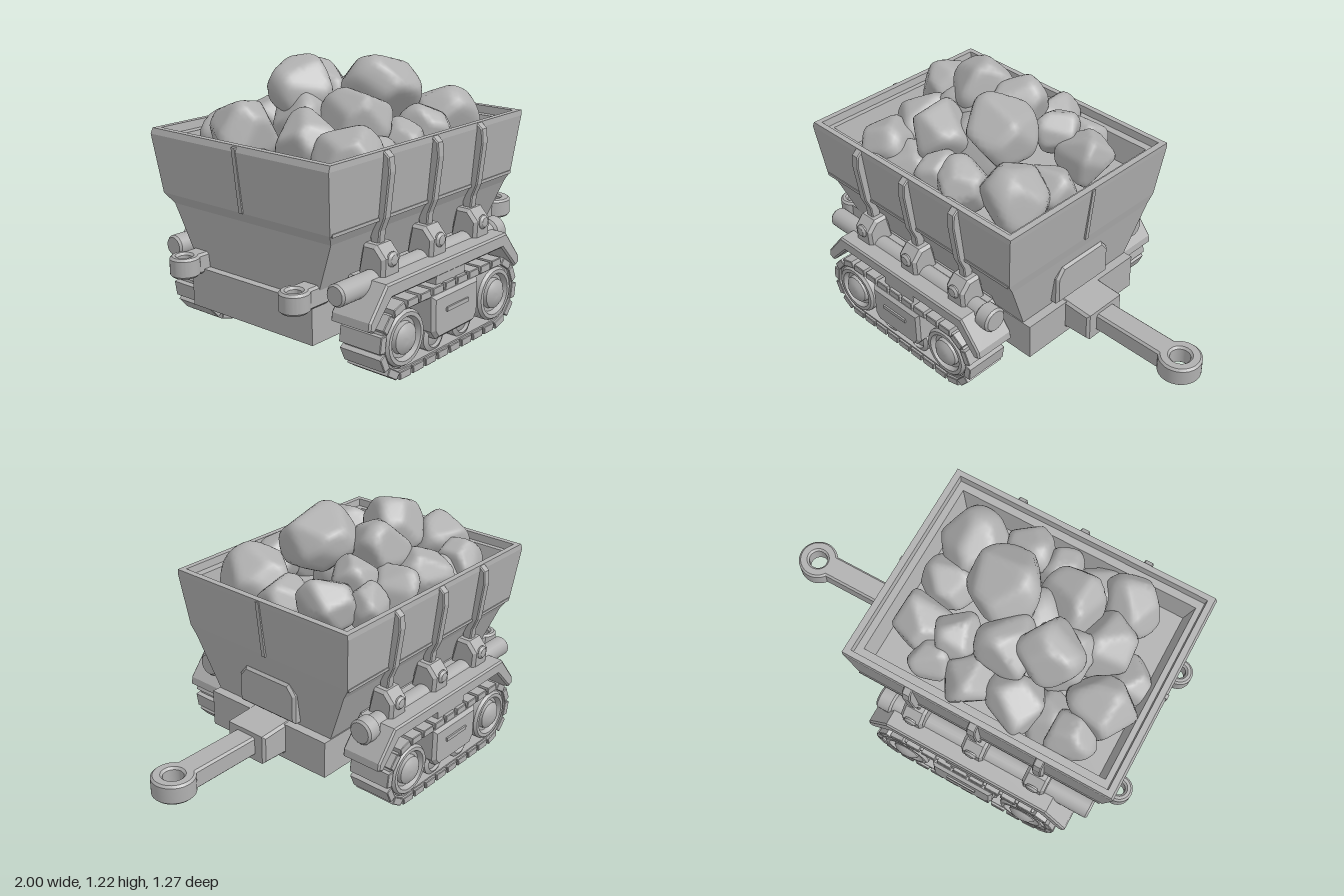
import * as THREE from 'three';
import { toCreasedNormals } from 'three/addons/utils/BufferGeometryUtils.js';

const stone = new THREE.MeshStandardMaterial({ color: 0xb0b0b0 });
stone.name = 'plain grey';

function add(parent, name, geo, x = 0, y = 0, z = 0) {
  const m = new THREE.Mesh(geo, stone);
  m.name = name;
  m.position.set(x, y, z);
  parent.add(m);
  return m;
}

const box = (w, h, d) => new THREE.BoxGeometry(w, h, d);

// Polygon extruded along z, centred, with an optional small bevel
function slab(points, depth, bevel = 0) {
  const s = new THREE.Shape(points.map(p => new THREE.Vector2(...p)));
  const g = new THREE.ExtrudeGeometry(s, {
    depth: depth - 2 * bevel, bevelEnabled: bevel > 0, bevelSize: bevel,
    bevelOffset: -bevel, bevelThickness: bevel, bevelSegments: 1,
  });
  return g.translate(0, 0, -depth / 2 + bevel);
}

// Rounded body of revolution whose axis points along +z
function turned(profile, segments = 24) {
  const g = new THREE.LatheGeometry(profile.map(p => new THREE.Vector2(...p)), segments);
  return toCreasedNormals(g.rotateX(Math.PI / 2), 0.6);
}

// Flat towing eye centred on the origin, with its tail towards -x
function eye(ring, hole, half, tail, height) {
  const a = Math.asin(half / ring);
  const s = new THREE.Shape();
  s.moveTo(-tail, half);
  s.lineTo(-tail, -half);
  s.absarc(0, 0, ring, -Math.PI + a, Math.PI - a, false);
  s.closePath();
  s.holes.push(new THREE.Path().absarc(0, 0, hole, 0, Math.PI * 2, true));
  const g = new THREE.ExtrudeGeometry(s, {
    depth: height - 0.02, bevelEnabled: true, bevelSize: 0.01, bevelOffset: -0.01,
    bevelThickness: 0.01, bevelSegments: 1, curveSegments: 20,
  });
  return toCreasedNormals(g.translate(0, 0, 0.01 - height / 2).rotateX(-Math.PI / 2), 0.5);
}

// Hopper shell from rectangular loops: y, x min, x max, half depth
function hopperShell() {
  const loops = [
    [0.34, -0.835, 0.285, 0.345], [0.6, -0.865, 0.325, 0.45], [0.65, -0.9, 0.335, 0.478],
    [0.91, -0.932, 0.37, 0.505], [0.935, -0.922, 0.372, 0.503], [0.935, -0.895, 0.342, 0.477],
    [0.9, -0.89, 0.337, 0.472], [0.9, -0.865, 0.305, 0.435], [0.78, -0.835, 0.275, 0.415],
  ].map(([y, a, b, z]) => [[b, y, z], [b, y, -z], [a, y, -z], [a, y, z]]);
  const pos = [];
  const quad = (a, b, c, d) => pos.push(...a, ...b, ...c, ...a, ...c, ...d);
  for (let i = 0; i + 1 < loops.length; i++)
    for (let j = 0; j < 4; j++) {
      const k = (j + 1) % 4;
      quad(loops[i][j], loops[i][k], loops[i + 1][k], loops[i + 1][j]);
    }
  quad(...loops[loops.length - 1]);
  const g = new THREE.BufferGeometry();
  g.setAttribute('position', new THREE.Float32BufferAttribute(pos, 3));
  g.computeVertexNormals();
  return g;
}

// Boulder: a sphere worn down by seeded planes, with softened edges
function rock(r, seed) {
  let s = seed * 7919 + 17;
  const rnd = () => (s = (s * 16807) % 2147483647) / 2147483647;
  const cuts = [];
  for (let i = 0; i < 12; i++) {
    const u = 1 - 2 * (i + 0.5) / 12, t = i * 2.4 + rnd() * 1.2, q = Math.sqrt(1 - u * u);
    cuts.push([new THREE.Vector3(q * Math.cos(t), u, q * Math.sin(t)), 0.78 + rnd() * 0.2]);
  }
  const g = new THREE.IcosahedronGeometry(1, 7), p = g.attributes.position, v = new THREE.Vector3();
  for (let i = 0; i < p.count; i++) {
    v.fromBufferAttribute(p, i).normalize();
    let sum = Math.pow(1 / 1.15, 24);
    for (const [n, h] of cuts) sum += Math.pow(Math.max(0, n.dot(v)) / h, 24);
    v.multiplyScalar(r * 1.02 * Math.pow(sum, -1 / 24));
    p.setXYZ(i, v.x, v.y, v.z);
  }
  return toCreasedNormals(g, 1.2);
}

// Running gear of one side, outer face towards +z, centred on its own x
function buildSide() {
  const side = new THREE.Group();
  const W = 0.318, Y = 0.166, Z = 0.5;

  // Track belt
  const loop = (path, r, cw) => {
    if (cw) {
      path.absarc(W, 0, r, Math.PI / 2, -Math.PI / 2, true);
      path.absarc(-W, 0, r, -Math.PI / 2, -Math.PI * 1.5, true);
    } else {
      path.absarc(W, 0, r, -Math.PI / 2, Math.PI / 2, false);
      path.absarc(-W, 0, r, Math.PI / 2, Math.PI * 1.5, false);
    }
    path.closePath();
    return path;
  };
  const belt = loop(new THREE.Shape(), 0.148, false);
  belt.holes.push(loop(new THREE.Path(), 0.123, true));
  add(side, 'trackBelt', toCreasedNormals(new THREE.ExtrudeGeometry(belt,
    { depth: 0.19, bevelEnabled: false, curveSegments: 16 }), 0.5), 0, Y, Z - 0.095);

  // Track pads spaced evenly around the belt
  const R = 0.15, straight = 2 * W, arc = Math.PI * R, total = 2 * (straight + arc), count = 26;
  const padShape = slab([[-0.038, -0.02], [0.038, -0.02], [0.034, 0.015], [-0.034, 0.015]], 0.215, 0.003);
  for (let i = 0; i < count; i++) {
    let d = (i + 0.5) * total / count, flip = 1, a = 0;
    if (d >= total / 2) { d -= total / 2; flip = -1; }
    let x = -W + d, y = R;
    if (d > straight) {
      a = (d - straight) / R;
      x = W + Math.sin(a) * R;
      y = Math.cos(a) * R;
    }
    const pad = add(side, 'trackPad', padShape, x * flip, Y + y * flip, Z);
    pad.rotation.z = -a + (flip < 0 ? Math.PI : 0);
  }

  // Main wheels with domed hubs, and the small lower rollers
  const wheel = turned([[0, -0.09], [0.122, -0.09], [0.122, 0.095], [0.112, 0.108], [0.095, 0.108],
    [0.085, 0.085], [0.07, 0.085], [0.066, 0.105], [0.045, 0.12], [0.02, 0.126], [0, 0.127]]);
  const roller = turned([[0, -0.085], [0.07, -0.085], [0.07, 0.08], [0.05, 0.09],
    [0.045, 0.075], [0.03, 0.08], [0, 0.09]]);
  for (const s of [-1, 1]) {
    add(side, 'wheel', wheel, s * W, Y + 0.004, Z);
    add(side, 'roller', roller, s * 0.1, 0.105, Z);
  }

  // Bogie cover with its slot frame
  add(side, 'bogieCover', slab([[-0.16, -0.06], [-0.13, -0.1], [0.13, -0.1], [0.16, -0.06],
    [0.16, 0.095], [-0.16, 0.095]], 0.17, 0.015), 0, 0.205, 0.54);
  add(side, 'coverSlot', box(0.15, 0.018, 0.012), 0, 0.225, 0.627);
  add(side, 'coverHanger', box(0.2, 0.08, 0.12), 0, 0.33, 0.53);

  // Fender with drooping ends
  add(side, 'fender', slab([[-0.53, 0.26], [-0.5, 0.245], [-0.39, 0.362], [0.39, 0.362], [0.5, 0.245],
    [0.53, 0.26], [0.525, 0.295], [0.42, 0.425], [-0.42, 0.425], [-0.525, 0.295]], 0.205, 0.008), 0, 0, 0.49);
  add(side, 'fenderSkirt', box(0.78, 0.08, 0.05), 0, 0.37, 0.39);

  // Ribs with wedge clamps and bolts, both drawn in (z, y)
  const rib = slab([[0.44, 0.5], [0.475, 0.5], [0.485, 0.6], [0.51, 0.66], [0.535, 0.85], [0.53, 0.91],
    [0.5, 0.935], [0.48, 0.92], [0.46, 0.65], [0.43, 0.6]], 0.042, 0.005).rotateY(-Math.PI / 2);
  const clamp = slab([[0.39, 0.4], [0.53, 0.4], [0.535, 0.5], [0.49, 0.55], [0.42, 0.55]], 0.112, 0.014)
    .rotateY(-Math.PI / 2);
  const bolt = turned([[0.032, 0], [0.032, 0.008], [0.022, 0.018], [0, 0.022]], 14);
  for (const x of [-0.317, 0, 0.317]) {
    add(side, 'hopperRib', rib, x, 0, 0);
    add(side, 'ribClamp', clamp, x, 0, 0);
    add(side, 'clampBolt', bolt, x, 0.49, 0.528);
  }
  return side;
}

export function createModel() {
  const model = new THREE.Group();
  model.name = 'oreTrailer';

  // Hopper with seams on both ends
  add(model, 'hopper', hopperShell());
  for (const [x, lean] of [[0.354, -0.12], [-0.915, 0.11]]) {
    const strip = add(model, 'endSeam', box(0.014, 0.28, 0.02), x, 0.79, 0);
    strip.rotation.z = lean;
  }
  for (const s of [-1, 1])
    add(model, 'sideSeam', box(1.22, 0.014, 0.01), -0.28, 0.65, s * 0.478);
  add(model, 'endPlate', slab([[-0.17, 0.36], [0.17, 0.36], [0.17, 0.5], [0.13, 0.55],
    [-0.13, 0.55], [-0.17, 0.5]], 0.07, 0.012).rotateY(Math.PI / 2), 0.295, 0, 0);

  // Chassis with keel and cross axles
  add(model, 'chassis', box(1.2, 0.18, 0.7), -0.27, 0.25, 0);
  add(model, 'keel', box(0.66, 0.05, 0.22), -0.27, 0.15, 0);
  for (const x of [-0.594, 0.042]) add(model, 'axle', box(0.07, 0.035, 0.86), x, 0.165, 0);

  // Front hitch
  add(model, 'hitchHousing', slab([[0.3, 0.17], [0.34, 0.19], [0.47, 0.195], [0.47, 0.335], [0.3, 0.345]],
    0.23, 0.012));
  add(model, 'drawbar', eye(0.098, 0.046, 0.058, 0.45, 0.095), 0.902, 0.267, 0);

  // Rear towing eyes
  for (const s of [-1, 1]) {
    const e = add(model, 'rearEye', eye(0.064, 0.03, 0.045, 0.15, 0.09), -0.936, 0.365, s * 0.32);
    e.rotation.y = Math.PI;
  }

  // Running gear on both sides, plus the long round rails with wider front caps
  const rail = turned([[0, -0.55], [0.04, -0.55], [0.048, -0.54], [0.048, 0.48], [0.06, 0.49],
    [0.06, 0.55], [0.05, 0.56], [0, 0.56]], 20).rotateY(Math.PI / 2);
  for (const s of [1, -1]) {
    const g = buildSide();
    g.name = s > 0 ? 'frontTrackUnit' : 'rearTrackUnit';
    g.position.x = -0.276;
    if (s < 0) g.rotation.y = Math.PI;
    model.add(g);
    add(model, 'sideRail', rail, -0.32, 0.4, s * 0.47);
  }

  // Heaped load: x, top height, z, radius
  const load = new THREE.Group();
  load.name = 'rockLoad';
  model.add(load);
  [
    [-0.65, 0.98, -0.33, 0.11], [-0.71, 1.05, -0.17, 0.14], [-0.38, 1.02, -0.32, 0.13],
    [-0.42, 1.2, -0.11, 0.135], [-0.25, 1.16, -0.16, 0.135], [-0.16, 1.02, -0.33, 0.12],
    [0.03, 0.98, -0.32, 0.1], [-0.03, 1.06, -0.2, 0.1], [0.15, 1.02, -0.2, 0.125],
    [-0.6, 1.02, 0.09, 0.14], [-0.4, 1.1, 0.18, 0.14], [-0.11, 1.2, 0.07, 0.16],
    [0.13, 1.03, 0.23, 0.155], [-0.61, 0.99, 0.32, 0.13], [-0.27, 0.96, 0.31, 0.11],
    [-0.11, 1.0, 0.33, 0.12], [0.15, 0.95, 0.03, 0.12], [-0.3, 1.03, 0.03, 0.17],
    [-0.46, 0.92, 0.33, 0.12], [-0.76, 0.88, 0.03, 0.11], [-0.52, 0.92, -0.3, 0.12],
    [-0.45, 1.07, -0.06, 0.15],
  ].forEach(([x, top, z, r], i) => {
    const m = add(load, 'rock', rock(r, i + 1), x, top - r * 0.94, z);
    m.rotation.y = i * 1.3;
  });
  return model;
}
